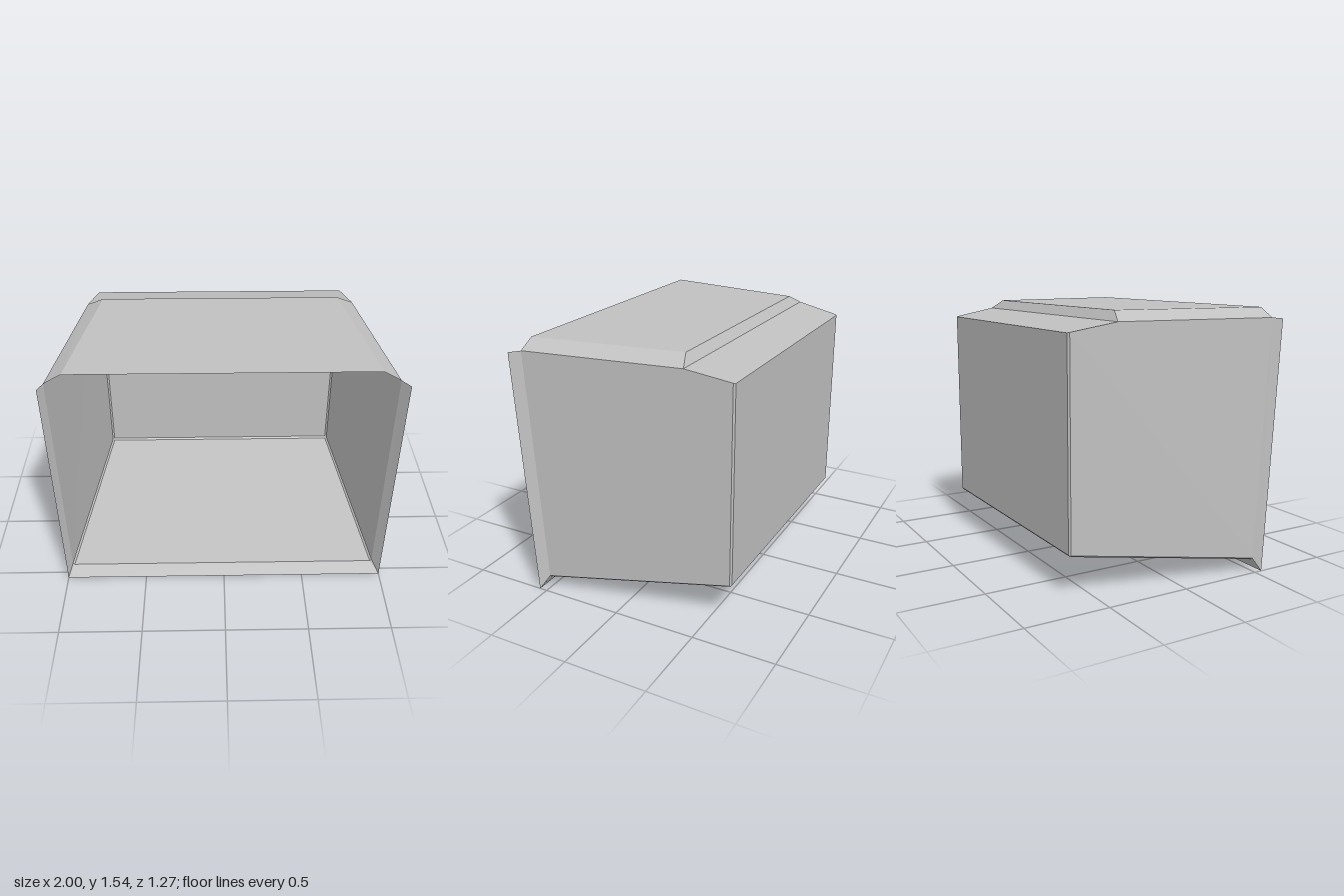
import * as THREE from 'three';

export function createModel() {
  const model = new THREE.Group();
  const shell = new THREE.MeshStandardMaterial({ color: 0xc0c0c0, side: THREE.DoubleSide });
  shell.name = 'light grey shell';
  const centre = new THREE.Vector3(0, 0.8, 0);

  // Flat convex panels, each wound so that it faces away from the middle of the box
  function panels(name, ...polygons) {
    const positions = [];
    for (const polygon of polygons) {
      const p = polygon.map((c) => new THREE.Vector3(...c));
      for (let i = 1; i < p.length - 1; i++) {
        const tri = new THREE.Triangle(p[0], p[i], p[i + 1]);
        const out = tri.getMidpoint(new THREE.Vector3()).sub(centre);
        const flip = tri.getNormal(new THREE.Vector3()).dot(out) < 0;
        for (const v of flip ? [p[0], p[i + 1], p[i]] : [p[0], p[i], p[i + 1]]) positions.push(v.x, v.y, v.z);
      }
    }
    const geometry = new THREE.BufferGeometry();
    geometry.setAttribute('position', new THREE.Float32BufferAttribute(positions, 3));
    geometry.computeVertexNormals();
    const mesh = new THREE.Mesh(geometry, shell);
    mesh.name = name;
    model.add(mesh);
  }

  const b = 0.01; // narrow bevel along the edges

  // Corner points of one side; the body sits slightly off centre inside its rim
  function sidePoints(s) {
    const x = (v) => s * v - 0.008;
    return {
      panelTop: [x(0.785), 1.44, -0.635],
      panelLow: [x(0.785), 0.24 + b, -0.635],
      backTop: [x(0.796), 1.443, -0.625],
      backLow: [x(0.796), 0.238 + b, -0.625],
      floorBack: [x(0.785), 0.238, -0.625],
      kink: [x(0.833), 1.49, -0.36],
      frontTop: [x(0.963), 1.49, 0.58],
      frontLow: [x(0.963), 0.07 + b, 0.5],
      floorFront: [x(0.952), 0.07, 0.5],
      raisedBack: [x(0.73), 1.545, -0.32],
      raisedFront: [x(0.865), 1.545, 0.58],
      lipTop: [s, 1.485, 0.635],
      lipLow: [s, 0, 0.548],
    };
  }
  const L = sidePoints(1), R = sidePoints(-1);

  // Back, floor and their bevel
  panels('backPanel', [L.panelTop, R.panelTop, R.panelLow, L.panelLow]);
  panels('floor', [L.floorBack, R.floorBack, R.floorFront, L.floorFront]);
  panels('backLowerBevel', [L.panelLow, R.panelLow, R.floorBack, L.floorBack]);
  panels('backUpperBevel', [L.panelTop, R.panelTop, R.backTop, L.backTop]);

  // Roof: rear slope, step and raised front
  panels('roofRearSlope', [L.backTop, R.backTop, R.kink, L.kink]);
  panels('roofStep', [L.kink, R.kink, R.raisedBack, L.raisedBack]);
  panels('raisedRoof', [L.raisedBack, R.raisedBack, R.raisedFront, L.raisedFront]);

  // Side walls with bevels, roof shoulders and flared rim
  for (const [name, p] of [['left', L], ['right', R]]) {
    panels(`${name}Wall`, [p.frontLow, p.backLow, p.backTop, p.kink, p.frontTop]);
    panels(`${name}Bevel`,
      [p.panelTop, p.panelLow, p.backLow, p.backTop],
      [p.panelLow, p.backLow, p.floorBack],
      [p.backLow, p.floorBack, p.floorFront, p.frontLow]);
    panels(`${name}RoofShoulder`, [p.kink, p.raisedBack, p.raisedFront, p.frontTop]);
    panels(`${name}Lip`, [p.frontTop, p.lipTop, p.lipLow, p.frontLow], [p.frontLow, p.lipLow, p.floorFront]);
  }
  panels('bottomLip', [L.floorFront, R.floorFront, R.lipLow, L.lipLow]);

  return model;
}
